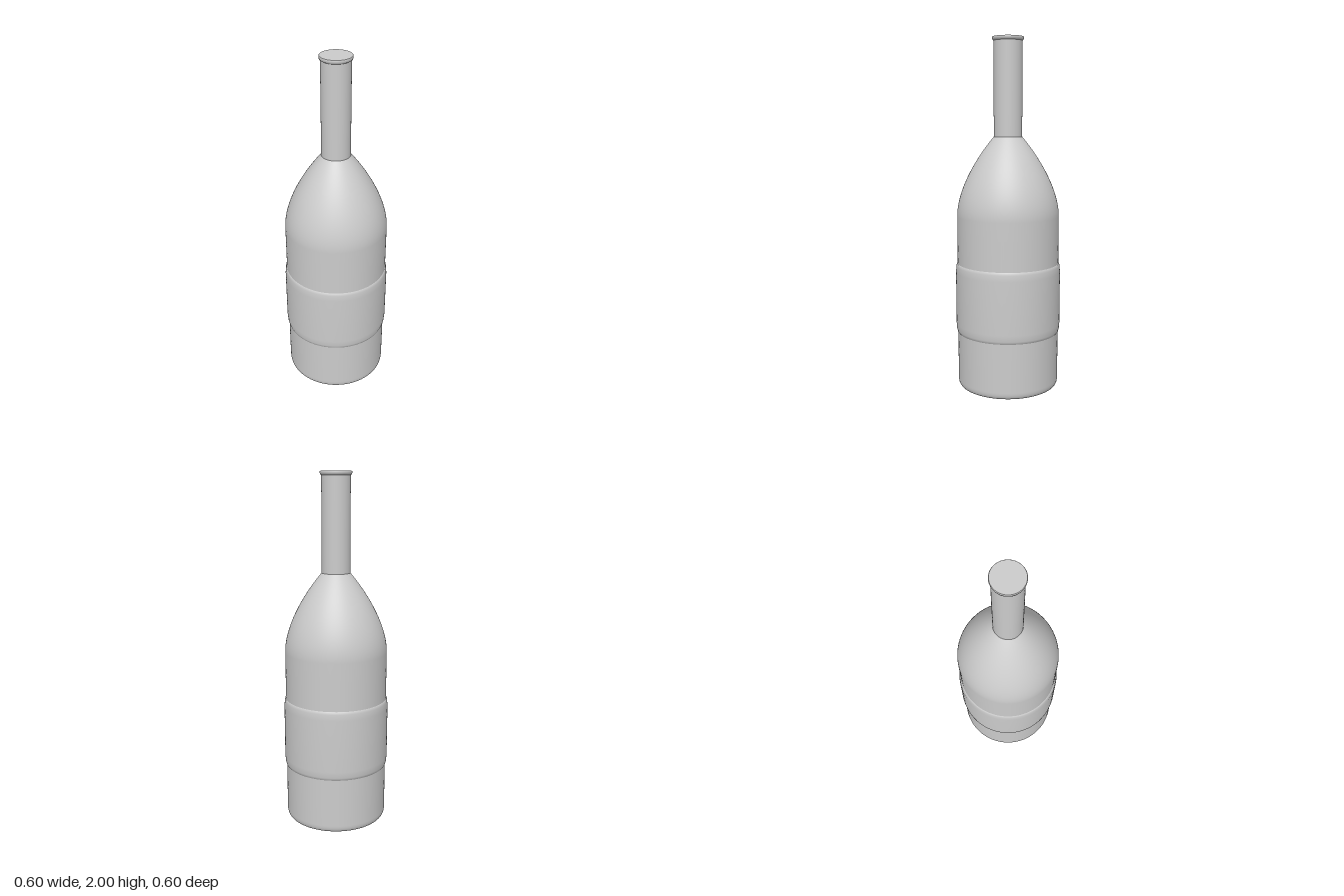
import * as THREE from 'three';

const SEGMENTS = 96;
const material = new THREE.MeshStandardMaterial({ color: 0xcccccc });
const v = (x, y) => new THREE.Vector2(x, y);

// Revolve a profile, listed from bottom to top, around the y axis
function lathe(name, points) {
  const mesh = new THREE.Mesh(new THREE.LatheGeometry(points, SEGMENTS), material);
  mesh.name = name;
  return mesh;
}

export function createModel() {
  const bottle = new THREE.Group();
  bottle.name = 'bottle';

  // Nearly flat underside
  bottle.add(lathe('base', [v(0, 0), v(0.1, 0.002), v(0.27, 0.01)]));

  // Rounded foot, straight wall and domed shoulder
  const foot = new THREE.QuadraticBezierCurve(v(0.27, 0.01), v(0.29, 0.012), v(0.29, 0.05));
  const shoulder = new THREE.CubicBezierCurve(v(0.29, 1.0), v(0.29, 1.14), v(0.19, 1.32), v(0.08, 1.45));
  bottle.add(lathe('body', [...foot.getPoints(8), v(0.29, 0.3), v(0.29, 0.9), ...shoulder.getPoints(32)]));

  // Raised label band with softened edges
  bottle.add(lathe('labelBand', [
    v(0.288, 0.33), v(0.293, 0.33), v(0.297, 0.345), v(0.3, 0.38),
    v(0.3, 0.68), v(0.297, 0.715), v(0.293, 0.73), v(0.288, 0.73),
  ]));

  // Straight neck
  bottle.add(lathe('neck', [v(0.08, 1.45), v(0.08, 1.98)]));

  // Thin lip around the mouth
  bottle.add(lathe('lip', [v(0.08, 1.978), v(0.086, 1.982), v(0.088, 1.99), v(0.088, 1.997), v(0.086, 2)]));

  // Flat closed top
  bottle.add(lathe('cap', [v(0.086, 2), v(0, 2)]));

  return bottle;
}
